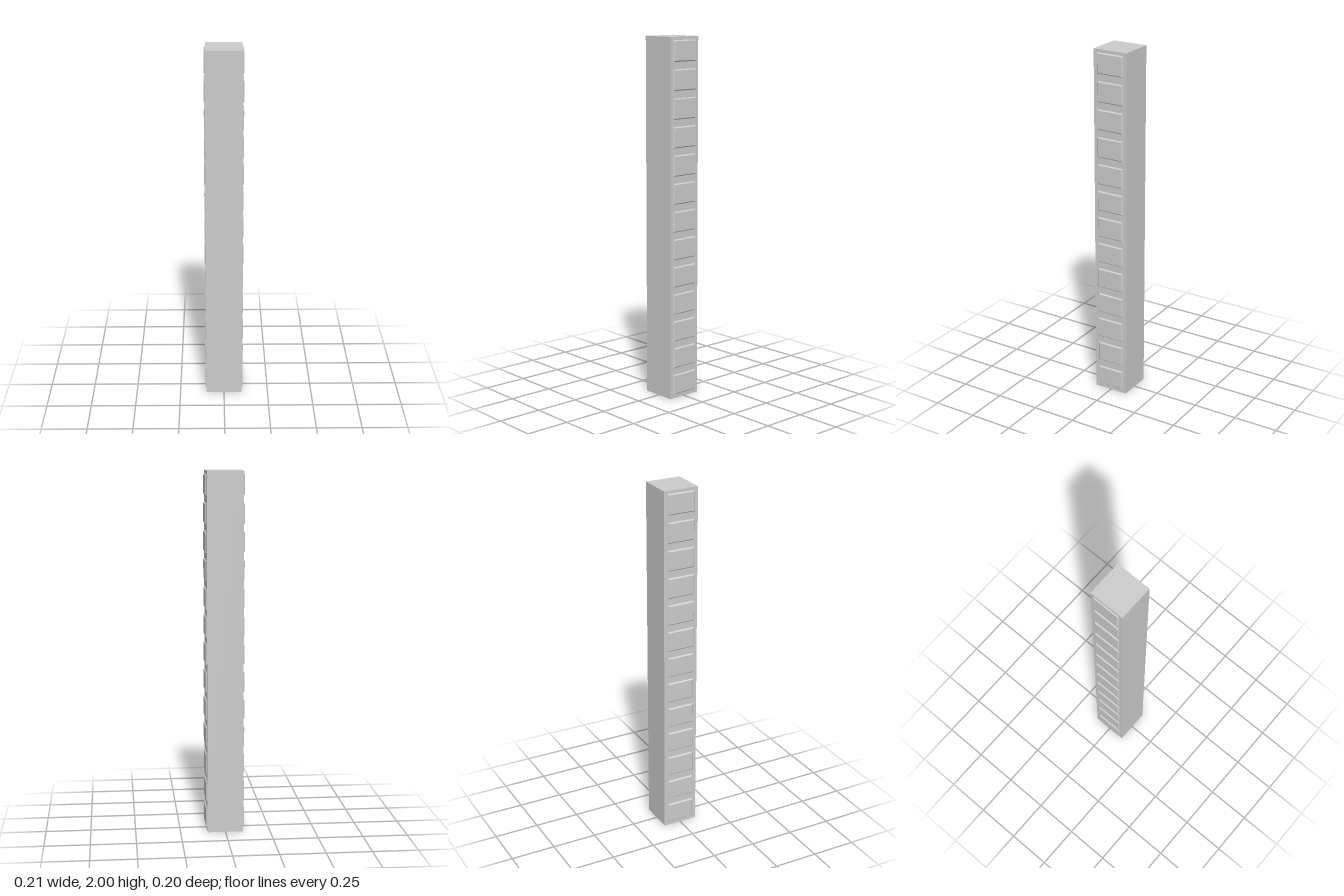
import * as THREE from 'three';

const WIDTH = 0.2, HEIGHT = 2, ROWS = 13;
const PANEL = { depth: 0.007, height: 0.115, width: 0.159, bevel: 0.006 };

// Raised panel with sloping edges: base on x = 0, smaller face towards +x
function panelGeometry() {
  const { depth, height, width, bevel } = PANEL;
  const geo = new THREE.BoxGeometry(depth, height, width);
  geo.translate(depth / 2, 0, 0);
  const p = geo.attributes.position;
  for (let i = 0; i < p.count; i++) {
    if (p.getX(i) < depth / 2) continue;
    p.setY(i, p.getY(i) - Math.sign(p.getY(i)) * bevel);
    p.setZ(i, p.getZ(i) - Math.sign(p.getZ(i)) * bevel);
  }
  geo.computeVertexNormals();
  return geo;
}

export function createModel() {
  const model = new THREE.Group();
  model.name = 'panelledPillar';
  const material = new THREE.MeshStandardMaterial({ color: 0xcccccc, flatShading: true });

  // Square shaft
  const shaft = new THREE.Mesh(new THREE.BoxGeometry(WIDTH, HEIGHT, WIDTH), material);
  shaft.name = 'shaft';
  shaft.position.y = HEIGHT / 2;
  model.add(shaft);

  // A column of panels on each side
  const geo = panelGeometry();
  const pitch = HEIGHT / ROWS;
  for (const side of [1, -1]) {
    const column = new THREE.Group();
    column.name = side > 0 ? 'leftPanels' : 'rightPanels';
    column.position.x = side * WIDTH / 2;
    column.rotation.y = side > 0 ? 0 : Math.PI;
    for (let i = 0; i < ROWS; i++) {
      const panel = new THREE.Mesh(geo, material);
      panel.name = 'panel';
      panel.position.y = (i + 0.5) * pitch + 0.002;
      column.add(panel);
    }
    model.add(column);
  }
  return model;
}
